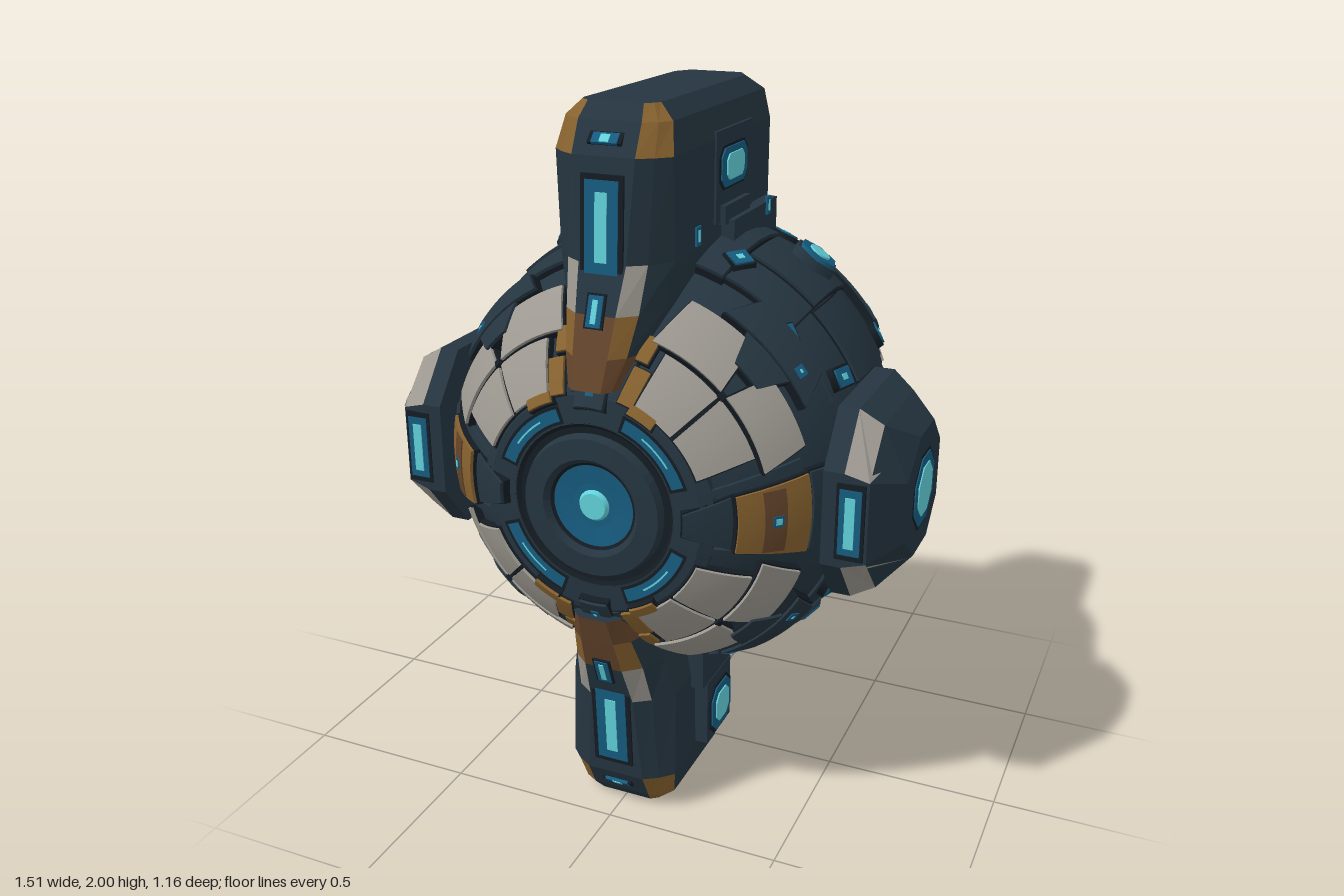
import * as THREE from 'three';

const mat = (name, color) => {
  const m = new THREE.MeshStandardMaterial({ color });
  m.name = name;
  return m;
};
const DEG = Math.PI / 180;

export function createModel() {
  const dark = mat('dark hull', 0x253540), black = mat('seam black', 0x141c23);
  const teal = mat('glow teal', 0x165c80), cyan = mat('glow cyan', 0x62d2da);
  const pale = mat('pale armour', 0x9d9991), ochre = mat('ochre armour', 0x87622f);
  const brown = mat('brown armour', 0x65452b);
  const model = new THREE.Group();
  const ball = new THREE.Group(); // everything centred on the sphere
  ball.position.y = 1;
  model.add(ball);

  const add = (parent, name, geo, m, x = 0, y = 0, z = 0) => {
    const mesh = new THREE.Mesh(geo, m);
    mesh.name = name;
    mesh.position.set(x, y, z);
    parent.add(mesh);
    return mesh;
  };
  const box = (parent, name, m, w, h, d, x, y, z) => add(parent, name, new THREE.BoxGeometry(w, h, d), m, x, y, z);

  // A curved plate: t = angle from the z axis, p = angle around it, w = half width at each end
  const patch = (parent, name, m, t0, t1, p, w0, w1, r0, r1) => {
    const g = new THREE.BoxGeometry(1, 2, 1, 6, 8, 1), a = g.attributes.position;
    for (let i = 0; i < a.count; i++) {
      const k = a.getX(i) + 0.5, top = a.getZ(i) > 0;
      const inset = top ? 0.003 : 0;
      const t = (t0 + (t1 - t0) * k) * DEG - Math.sign(k - 0.5) * (k === 0 || k === 1 ? inset / r1 : 0);
      const r = top ? r1 : r0;
      const phi = p * DEG + a.getY(i) * (w0 + (w1 - w0) * k - inset) / (r1 * Math.sin(t));
      a.setXYZ(i, r * Math.sin(t) * Math.cos(phi), r * Math.sin(t) * Math.sin(phi), r * Math.cos(t));
    }
    g.computeVertexNormals();
    return add(parent, name, g, m);
  };
  // A plate with a black seam around it
  const plate = (parent, name, m, t0, t1, p, w0, w1, r) => {
    patch(parent, name + 'Seam', black, t0 - 0.35, t1 + 0.35, p, w0 + 0.004, w1 + 0.004, 0.58, r - 0.008);
    patch(parent, name, m, t0, t1, p, w0, w1, 0.58, r);
  };

  // Faceted hull through rings of points, with a material per facet
  const loft = (parent, name, rings, mats, pick) => {
    const lists = mats.map(() => []), n = rings[0].length;
    const put = (k, ...ps) => ps.forEach(q => lists[k].push(...q));
    for (let r = 0; r < rings.length - 1; r++) for (let i = 0; i < n; i++) {
      const j = (i + 1) % n, A = rings[r], B = rings[r + 1], k = pick(r, i);
      put(k, A[i], A[j], B[j], A[i], B[j], B[i]);
    }
    const S = rings[0], E = rings[rings.length - 1];
    for (let i = 1; i < n - 1; i++) {
      put(0, S[0], S[i + 1], S[i]);
      put(0, E[0], E[i], E[i + 1]);
    }
    const g = new THREE.BufferGeometry();
    let start = 0;
    lists.forEach((l, k) => { g.addGroup(start, l.length / 3, k); start += l.length / 3; });
    g.setAttribute('position', new THREE.Float32BufferAttribute(lists.flat(), 3));
    g.computeVertexNormals();
    return add(parent, name, g, mats);
  };

  // A small disc or square lying on the sphere
  const stud = (name, m, v, r, radius, depth, sides, stretch = 1) => {
    const g = new THREE.CylinderGeometry(radius * 0.9, radius, depth, sides)
      .rotateY(Math.PI / sides).rotateX(Math.PI / 2).scale(stretch, 1, 1);
    const d = new THREE.Vector3(...v).normalize();
    const mesh = add(ball, name, g, m, ...d.clone().multiplyScalar(r).toArray());
    mesh.quaternion.setFromRotationMatrix(new THREE.Matrix4().lookAt(d, new THREE.Vector3(), new THREE.Vector3(0, 1, 0)));
  };

  // Core sphere, open at the two lens ends
  add(ball, 'coreSphere', new THREE.SphereGeometry(0.617, 64, 40, 0, Math.PI * 2, 0.53, Math.PI - 1.06).rotateX(Math.PI / 2), dark);

  // Front and back lens, armour quarters and arms
  for (const front of [true, false]) {
    const cap = new THREE.Group();
    cap.name = front ? 'frontCap' : 'backCap';
    if (!front) cap.rotation.y = Math.PI;
    ball.add(cap);
    const lathe = (name, m, pts) =>
      add(cap, name, new THREE.LatheGeometry(pts.map(q => new THREE.Vector2(...q)), 48).rotateX(Math.PI / 2).toNonIndexed(), m).geometry.computeVertexNormals();
    lathe('lensCollar', dark, [[0.335, 0.5], [0.33, 0.535], [0.3, 0.552], [0.225, 0.558]]);
    lathe('lensGroove', black, [[0.228, 0.558], [0.215, 0.55], [0.195, 0.55]]);
    lathe('lensRing', dark, [[0.2, 0.545], [0.19, 0.573], [0.135, 0.577], [0.12, 0.56]]);
    lathe('lensShadowRing', black, [[0.122, 0.562], [0.112, 0.555]]);
    lathe('lensDish', teal, [[0.114, 0.556], [0.06, 0.55], [0, 0.55]]);
    add(cap, 'lensCentre', new THREE.CylinderGeometry(0.036, 0.044, 0.012, 20).rotateX(Math.PI / 2), cyan, 0, 0, 0.555);
    for (let q = 0; q < 4; q++) {
      const mid = 45 + q * 90, s = q % 2 ? -1 : 1; // s points towards the vertical axis
      const arc = (name, m, r0, r1, half, z) =>
        add(cap, name, new THREE.RingGeometry(r0, r1, 16, 1, (mid - half) * DEG, half * 2 * DEG), m, 0, 0, z);
      arc('arcRecess', black, 0.23, 0.28, 26, 0.5595);
      arc('arcGlow', teal, 0.238, 0.272, 24, 0.561);
      arc('arcGlowLine', cyan, 0.252, 0.257, 11, 0.5625);
      for (const e of [-1, 1]) {
        plate(cap, 'innerArmour', pale, 29, 43.5, mid + e * 11.7, 0.061, 0.088, 0.642);
        plate(cap, 'outerArmour', pale, 44.2, e === s ? 58 : 56, mid + e * 15, 0.111, 0.1, 0.645);
      }
      plate(cap, 'armourTrim', ochre, 28.5, 38, mid + s * 27, 0.024, 0.026, 0.64);
      plate(cap, 'innerTrim', ochre, 27, 30, mid + s * 17, 0.04, 0.04, 0.645);
      plate(cap, 'outerTrim', ochre, 39, 46, mid + s * 29, 0.02, 0.022, 0.638);
      plate(cap, 'armourNotch', dark, 51, 59, mid, 0.045, 0.085, 0.652);
      plate(cap, 'edgeFlap', dark, 59, 68, mid, 0.16, 0.12, 0.655);
      patch(cap, 'armourBolt', black, 42.8, 45, mid, 0.012, 0.012, 0.6, 0.65);
      patch(cap, 'flapLight', teal, 61, 64, mid - s * 8, 0.018, 0.018, 0.6, 0.658);
      patch(cap, 'flapLightCore', cyan, 62, 63, mid - s * 8, 0.008, 0.008, 0.6, 0.66);
    }
    // Tapered side arms
    for (const p of [0, 180]) {
      const a = front ? 36 : 43, b = front ? 55 : 64;
      plate(cap, 'armTip', dark, 24, a, p, 0.032, 0.075, 0.636);
      plate(cap, 'armArmour', ochre, a + 0.4, b, p, 0.08, 0.112, 0.65);
      patch(cap, 'armStripe', brown, (a + b) / 2 - 3, (a + b) / 2 + 3, p, 0.086, 0.09, 0.6, 0.653);
      plate(cap, 'armBase', dark, b + 0.4, 78, p, 0.112, 0.125, 0.645);
      for (const t of front ? [46] : [48, 58]) {
        patch(cap, 'armLight', teal, t - 1.6, t + 1.6, p, 0.018, 0.018, 0.6, 0.655);
        patch(cap, 'armLightCore', cyan, t - 1, t + 1, p, 0.011, 0.011, 0.6, 0.657);
      }
      for (const e of [-1, 1]) patch(cap, 'armRail', dark, 28, b, p + e * 14, 0.012, 0.02, 0.6, 0.628);
    }
    // Vertical spine blocks
    for (const p of [90, 270]) {
      plate(cap, 'spineBase', dark, 29, 62, p, 0.09, 0.13, 0.63);
      plate(cap, 'spineBlock', dark, 25.5, 43, p, 0.042, 0.05, 0.64);
      patch(cap, 'spineLight', teal, 28, 32, p, 0.014, 0.014, 0.6, 0.643);
      patch(cap, 'spineLightCore', cyan, 29, 31, p, 0.007, 0.007, 0.6, 0.645);
    }
  }

  // Side plating and lights in the four quadrants
  for (const sx of [-1, 1]) for (const sy of [-1, 1]) {
    const ang = p => Math.atan2(sy * Math.sin(p * DEG), sx * Math.cos(p * DEG)) / DEG;
    [[69, 80, 0.63], [80.7, 101, 0.636], [101.7, 112, 0.63]].forEach(([t0, t1, r]) => {
      plate(ball, 'sidePlate', dark, t0, t1, ang(36), 0.112, 0.112, r - 0.006);
      plate(ball, 'shoulderPlate', dark, t0, t1, ang(57), 0.112, 0.112, r + 0.008);
    });
    plate(ball, 'spineRail', dark, 68, 112, ang(72), 0.045, 0.045, 0.645);
    const eye = [sx * 0.38, sy * 0.56, -0.1];
    stud('eyeMount', dark, eye, 0.64, 0.078, 0.05, 6);
    stud('eyeFrame', teal, eye, 0.655, 0.066, 0.04, 6);
    stud('eyeCore', cyan, eye, 0.66, 0.035, 0.04, 12);
    for (const v of [[0.53, 0.3, 0.17], [0.52, 0.31, -0.22], [0.23, 0.55, -0.21], [0.23, 0.56, 0.15], [0.4, 0.42, 0.25], [0.36, 0.42, -0.33]]) {
      const w = [sx * v[0], sy * v[1], v[2]], r = v[0] < 0.3 ? 0.636 : 0.626;
      stud('sideLightMount', black, w, r, 0.046, 0.03, 4, 1.2);
      stud('sideLight', teal, w, r + 0.005, 0.038, 0.03, 4, 1.2);
      stud('sideLightCore', cyan, w, r + 0.007, 0.013, 0.03, 4, 1.2);
    }
  }

  // Fins: rows of height, half widths (front, chamfer, side), z (front, chamfer, side, back)
  const fin = (name, back) => {
    const f = new THREE.Group();
    f.name = name;
    ball.add(f);
    const rows = [
      [0.32, 0.04, 0.06, 0.07, 0.58, 0.56, 0.54, 0.5], [0.4, 0.048, 0.085, 0.1, 0.555, 0.52, 0.47, 0.35],
      [0.5, 0.055, 0.1, 0.135, 0.52, 0.48, 0.41, back], [0.62, 0.065, 0.11, 0.158, 0.476, 0.445, 0.39, back],
      [0.88, 0.085, 0.125, 0.16, 0.46, 0.435, 0.4, back], [0.96, 0.085, 0.12, 0.145, 0.42, 0.4, 0.37, back + 0.01],
      [1, 0.075, 0.095, 0.105, 0.385, 0.37, 0.35, back + 0.06]];
    const rings = rows.map(([h, a, c, b, zf, zc, zs, zb]) => {
      const half = [[a, zf], [c, zc], [b, zs], [b, zb + 0.05], [b * 0.72, zb]];
      return [...half.map(([x, z]) => [x, h, z]), ...half.reverse().map(([x, z]) => [-x, h, z])];
    });
    loft(f, 'finHull', rings, [dark, ochre, brown, pale], (r, i) => {
      const chamfer = i === 0 || i === 8, flank = i === 1 || i === 7;
      if (chamfer) return [2, 1, 3, 0, 1, 1][r];
      if (flank) return [2, 0, 0, 0, 1, 1][r];
      return i === 9 && r < 2 ? 2 : 0;
    });
    // Front light slots
    const slot = (h, z, w, l, tilt) => [[black, 1.3, 0], [teal, 1, 0.003], [cyan, 0.36, 0.006]].forEach(([m, k, o]) => {
      box(f, 'finFrontLight', m, w * k, l * (k > 1 ? 1.12 : k < 1 ? 0.75 : 1), 0.009, 0, h, z + o).rotation.x = tilt;
    });
    slot(0.71, 0.472, 0.09, 0.23, -0.06);
    slot(0.51, 0.518, 0.04, 0.08, -0.35);
    slot(0.92, 0.441, 0.07, 0.03, -0.78);
    return f;
  };
  // Side window of a fin: stacked frames, centre glowing
  const windowOn = (f, h, z, w, l, x) => [-1, 1].forEach(s =>
    [[black, 1.45, 0], [teal, 1.28, 0.004], [cyan, 0.85, 0.008]].forEach(([m, k, o]) => {
      const W = w * k / 2, H = l * k / 2, c = Math.min(W, H) * 0.45;
      const sh = new THREE.Shape([[-W + c, -H], [W - c, -H], [W, -H + c], [W, H - c], [W - c, H], [-W + c, H], [-W, H - c], [-W, -H + c]]
        .map(q => new THREE.Vector2(...q)));
      add(f, 'finWindow', new THREE.ExtrudeGeometry(sh, { depth: 0.006, bevelEnabled: false }).rotateY(s * Math.PI / 2), m, s * (x + o), h, z);
    }));

  const topFin = fin('topFin', -0.32);
  windowOn(topFin, 0.8, 0.02, 0.14, 0.08, 0.16);
  for (const s of [-1, 1]) {
    box(topFin, 'finFoot', dark, 0.05, 0.17, 0.33, s * 0.17, 0.58, -0.08);
    box(topFin, 'finFootStep', dark, 0.05, 0.05, 0.18, s * 0.155, 0.68, 0.02);
    box(topFin, 'finSidePanel', dark, 0.02, 0.24, 0.26, s * 0.155, 0.78, 0.01);
    for (const z of [0.25, -0.17]) {
      box(topFin, 'finSmallLight', teal, 0.008, 0.05, 0.03, s * (z > 0 ? 0.16 : 0.196), 0.655, z);
      box(topFin, 'finSmallLightCore', cyan, 0.008, 0.03, 0.01, s * (z > 0 ? 0.162 : 0.198), 0.655, z);
    }
  }

  const bottomFin = fin('bottomFin', 0);
  bottomFin.rotation.z = Math.PI;
  windowOn(bottomFin, 0.77, 0.16, 0.11, 0.11, 0.197);
  for (const s of [-1, 1]) {
    box(bottomFin, 'finSideBox', dark, 0.06, 0.2, 0.18, s * 0.167, 0.76, 0.16);
    box(bottomFin, 'finFoot', dark, 0.06, 0.2, 0.24, s * 0.165, 0.56, 0.16);
  }

  // Side pods
  for (const s of [1, -1]) {
    const pod = new THREE.Group();
    pod.name = s > 0 ? 'leftPod' : 'rightPod';
    if (s < 0) pod.rotation.z = Math.PI;
    ball.add(pod);
    const oct = (x, k, front, rear) => [[0.265, rear + 0.09], [0.265, front - 0.11], [0.13, front], [-0.13, front],
      [-0.265, front - 0.11], [-0.265, rear + 0.09], [-0.13, rear], [0.13, rear]].map(([y, z]) => [x, y * k, z]);
    loft(pod, 'podHull', [oct(0.56, 1, 0.39, -0.14), oct(0.615, 1, 0.39, -0.14), oct(0.68, 0.86, 0.385, -0.1), oct(0.75, 0.64, 0.28, -0.06)],
      [dark, pale], (r, i) => (i === 1 || i === 3) && r === 1 ? 1 : 0);
    // Pale triangle closing each front corner
    for (const e of [1, -1]) {
      const tri = [[0.615, e * 0.262, 0.284], [0.68, e * 0.115, 0.39], [0.742, e * 0.172, 0.186]];
      const g = new THREE.BufferGeometry();
      g.setAttribute('position', new THREE.Float32BufferAttribute((e > 0 ? tri : tri.reverse()).flat(), 3));
      g.computeVertexNormals();
      add(pod, 'podCorner', g, pale);
    }
    add(pod, 'podHub', new THREE.CylinderGeometry(0.2, 0.23, 0.14, 24).rotateZ(Math.PI / 2), dark, 0.52, 0, 0.1);
    [[black, 0.115, 0.751], [teal, 0.105, 0.754], [cyan, 0.076, 0.757]].forEach(([m, r, x]) =>
      add(pod, 'podSideLight', new THREE.CylinderGeometry(r, r, 0.008, 8).rotateY(Math.PI / 8).rotateZ(Math.PI / 2), m, x - 0.004, 0, 0.105));
    [[black, 0.075, 0.21, 0.39], [teal, 0.058, 0.18, 0.393], [cyan, 0.026, 0.14, 0.396]].forEach(([m, w, h, z]) =>
      box(pod, 'podFrontLight', m, w, h, 0.008, 0.635, 0, z));
  }
  return model;
}
